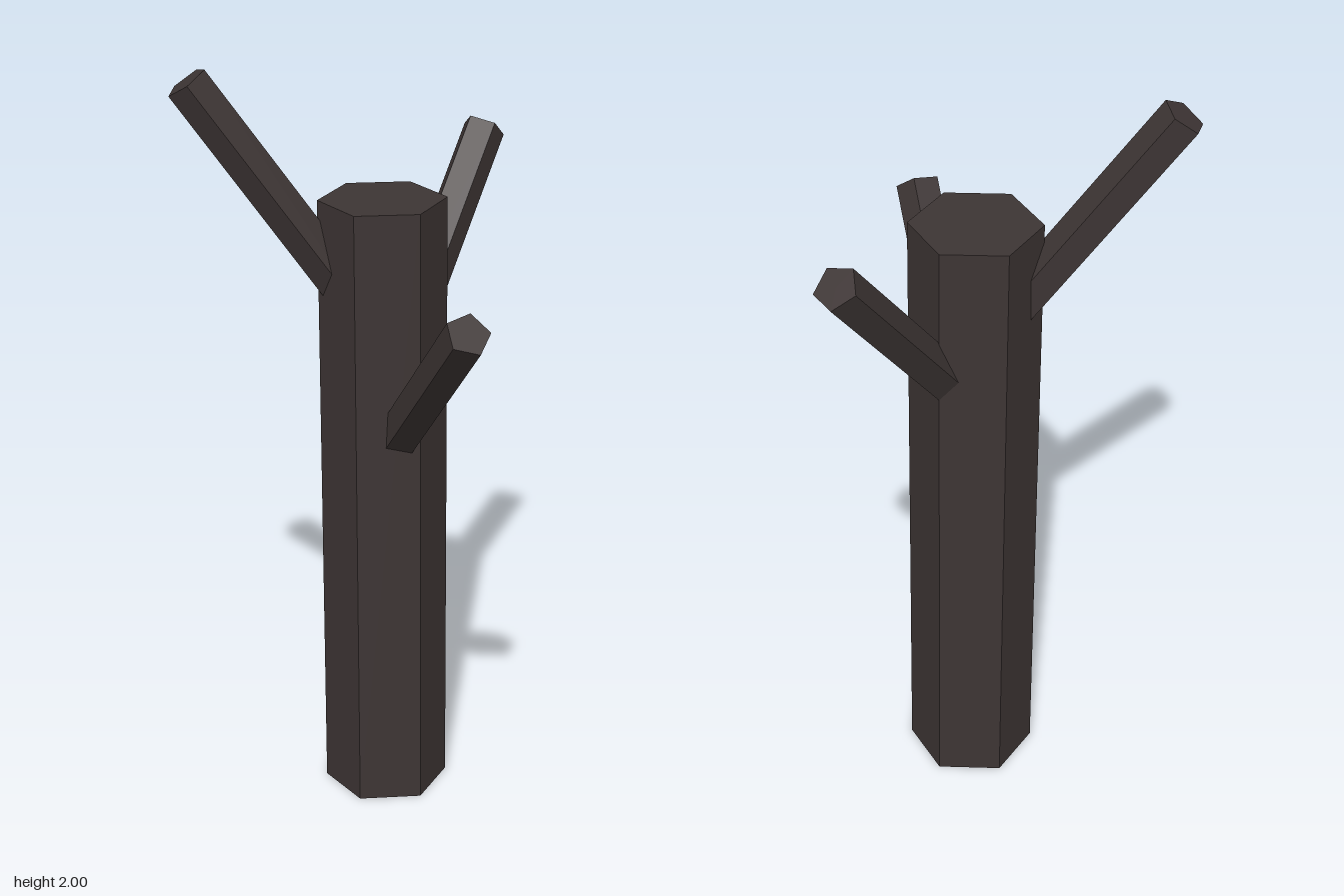
import * as THREE from 'three';

const TRUNK_X = -0.025;
const TRUNK_Z = -0.13;
const TRUNK_HEIGHT = 1.66;

export function createModel() {
  const model = new THREE.Group();
  model.name = 'bareTree';

  const bark = new THREE.MeshStandardMaterial({ color: 0x3d3534, flatShading: true });
  bark.name = 'darkBark';

  // Straight six-sided trunk
  const trunk = new THREE.Mesh(new THREE.CylinderGeometry(0.165, 0.165, TRUNK_HEIGHT, 6), bark);
  trunk.name = 'trunk';
  trunk.position.set(TRUNK_X, TRUNK_HEIGHT / 2, TRUNK_Z);
  model.add(trunk);

  // Five-sided branch from the trunk axis at height baseY to the centre of its tip
  function addBranch(name, baseY, tip, rollDegrees) {
    const base = new THREE.Vector3(TRUNK_X, baseY, TRUNK_Z);
    const reach = new THREE.Vector3(...tip).sub(base);
    const length = reach.length();
    const geometry = new THREE.CylinderGeometry(0.058, 0.058, length, 5);
    geometry.translate(0, length / 2, 0);
    geometry.rotateY(THREE.MathUtils.degToRad(rollDegrees));
    geometry.rotateX(Math.acos(reach.y / length));
    geometry.rotateY(Math.atan2(reach.x, reach.z));
    const branch = new THREE.Mesh(geometry, bark);
    branch.name = name;
    branch.position.copy(base);
    model.add(branch);
  }

  addBranch('rightBackBranch', 1.287, [-0.435, 1.968, -0.38], 22);
  addBranch('leftBackBranch', 1.13, [0.439, 1.73, -0.327], 20);
  addBranch('frontBranch', 0.947, [-0.136, 1.475, 0.388], 14);

  return model;
}
